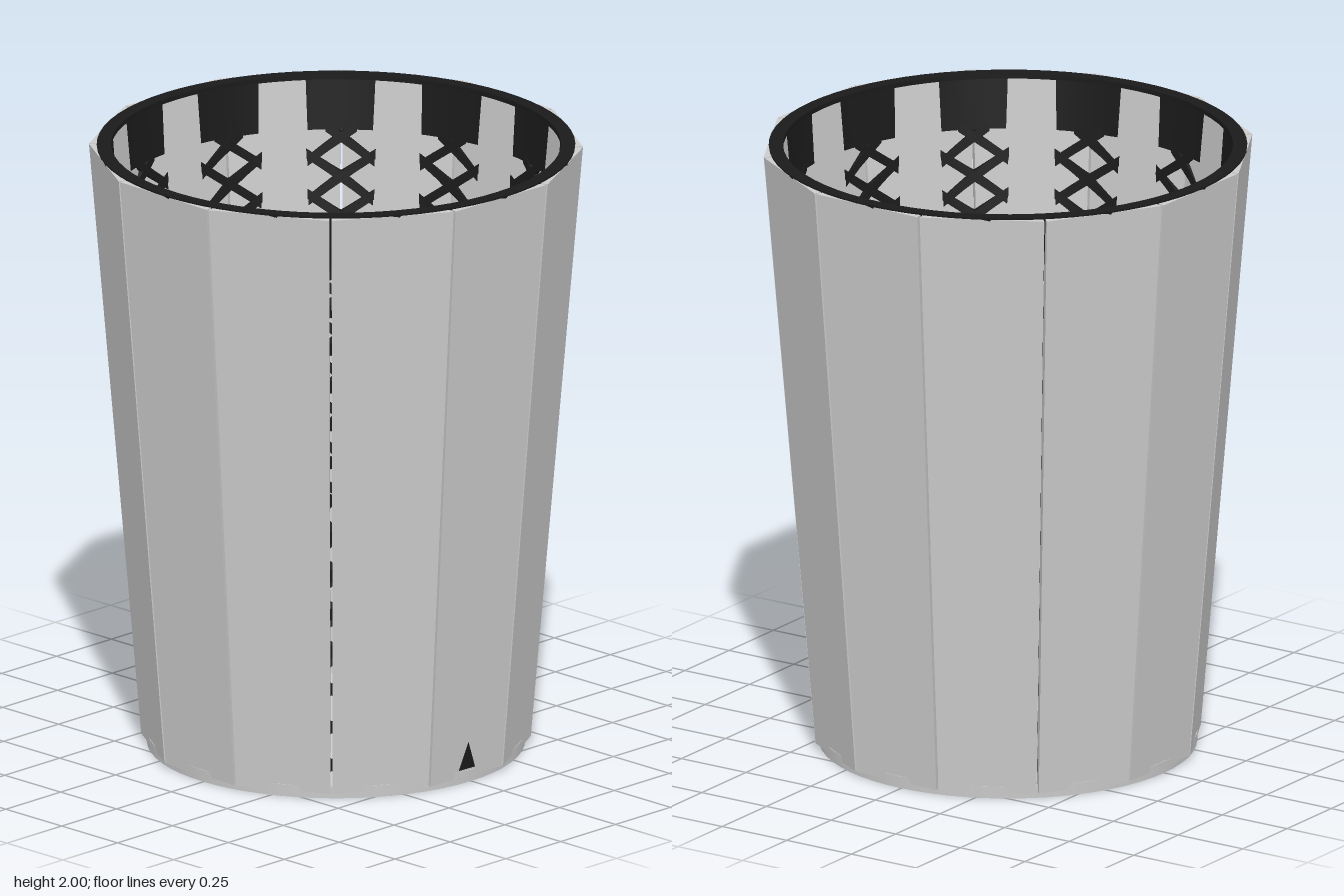
import * as THREE from 'three';
import { mergeGeometries } from 'three/addons/utils/BufferGeometryUtils.js';

const SIDES = 12, STRANDS = 24, HEIGHT = 2;
const DEG = Math.PI / 180;
const TURN = -1.85 * DEG;                                  // the first panel sits slightly off the front
const HALF = Math.tan(Math.PI / SIDES);

// Tapering radii at height y
const panelOuter = y => 0.6 + 0.0815 * y;
const panelInner = y => 0.555 + 0.0825 * y;
const liner = y => 0.5636 + 0.0805 * y;

// Move every vertex of a geometry by a rule
function reshape(geometry, rule) {
  const p = geometry.attributes.position;
  for (let i = 0; i < p.count; i++) p.setXYZ(i, ...rule(p.getX(i), p.getY(i), p.getZ(i)));
  geometry.computeVertexNormals();
  return geometry;
}

// One flat tapered board with a narrow seam on either side
function panelGeometry() {
  return reshape(new THREE.BoxGeometry(1, 1, 1), (x, y, z) => {
    const h = y > 0 ? HEIGHT - 0.005 : 0.02;
    const r = z > 0 ? panelOuter(h) : panelInner(h);
    return [Math.sign(x) * (r * HALF - 0.004), h, r];
  });
}

// One strand winding up the cone, dir = 1 or -1
function strandGeometry(start, dir) {
  const bottom = 0.04, top = 1.83, pitch = 0.13;
  return reshape(new THREE.BoxGeometry(1, 1, 1, 1, 28, 1), (x, y, z) => {
    const rise = (y + 0.5) * (top - bottom);
    const h = bottom + rise - dir * x * 0.034;
    const a = start + dir * (rise / pitch) * (2 * Math.PI / STRANDS);
    const r = liner(h) + (z > 0 ? 0.022 : 0);
    return [Math.sin(a) * r, h, Math.cos(a) * r];
  });
}

export function createModel() {
  const model = new THREE.Group();
  const grey = new THREE.MeshStandardMaterial({ color: 0xcccccc });
  const dark = new THREE.MeshStandardMaterial({ color: 0x1a1a1a });
  const add = (name, geometry, material) => {
    const mesh = new THREE.Mesh(geometry, material);
    mesh.name = name;
    model.add(mesh);
    return mesh;
  };

  // Outer boards
  const board = panelGeometry();
  for (let i = 0; i < SIDES; i++) {
    add('sidePanel', board, grey).rotation.y = TURN + i * 2 * Math.PI / SIDES;
  }

  // Round base, its top is the floor
  const base = new THREE.CylinderGeometry(0.606, 0.604, 0.04, 64);
  base.translate(0, 0.02, 0);
  add('base', base, grey);

  // Diamond lattice lining, with crossings on the panel seams
  const strands = [];
  for (let i = 0; i < STRANDS; i++) {
    const start = TURN + (i + 0.5) * 2 * Math.PI / STRANDS;
    strands.push(strandGeometry(start, 1), strandGeometry(start, -1));
  }
  add('latticeLining', mergeGeometries(strands), dark);

  // Solid rim band at the top; each stretch has its own normals to keep the edges sharp
  const profile = [
    [liner(1.82), 1.82], [liner(1.82) + 0.022, 1.82], [0.75, 1.9], [0.764, HEIGHT],
    [0.718, HEIGHT], [0.718, 1.985], [liner(1.985), 1.985], [liner(1.82), 1.82],
  ].map(([r, y]) => new THREE.Vector2(r, y));
  const bands = profile.slice(1).map((p, i) => new THREE.LatheGeometry([profile[i], p], 72));
  add('rimBand', mergeGeometries(bands), dark);

  // Small lattice tip showing through the front board
  const tip = new THREE.Shape();
  tip.moveTo(-0.035, 0);
  tip.lineTo(0.035, 0);
  tip.lineTo(0, 0.09);
  const tipGeometry = new THREE.ExtrudeGeometry(tip, { depth: 0.012, bevelEnabled: false });
  tipGeometry.rotateX(Math.atan(0.0815));
  tipGeometry.translate(0, 0.047, panelOuter(0.047) - 0.01);
  add('latticeTip', tipGeometry, dark).rotation.y = TURN;

  return model;
}
